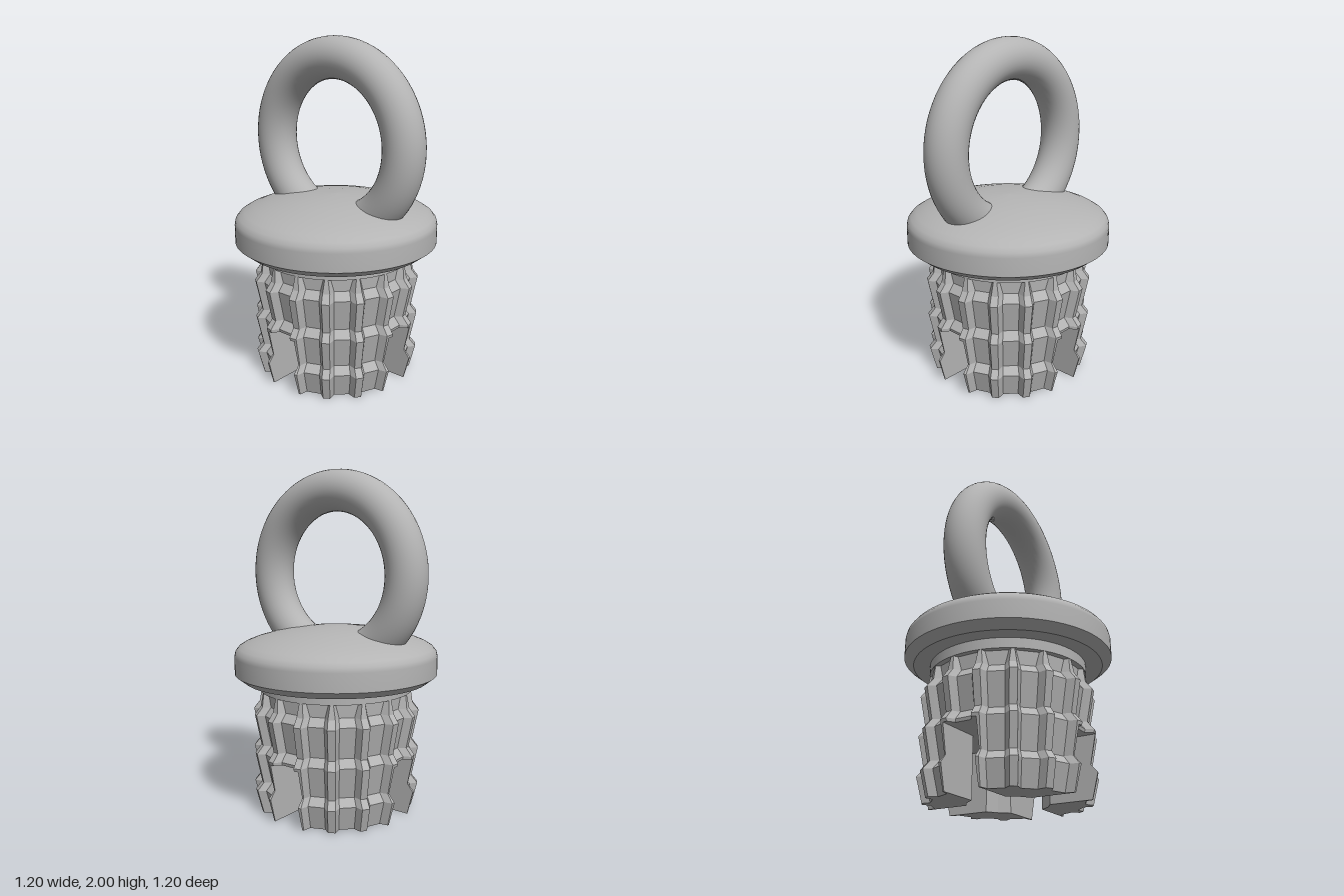
import * as THREE from 'three';

const TEETH = 16, PITCH = 360 / TEETH;
const SLOT = 0.1, SLOT_TOP = 0.345, BORE = 0.224;
const GROOVE = 0.045;
// tooth-tip radius by height: [y, r]
const PROFILE = [[0, 0.459], [0.14, 0.495], [0.185, 0.458], [0.363, 0.495],
  [0.41, 0.458], [0.593, 0.495], [0.64, 0.459], [0.725, 0.446]];

function tipRadius(y) {
  for (let i = 1; i < PROFILE.length; i++) {
    const [y0, r0] = PROFILE[i - 1], [y1, r1] = PROFILE[i];
    if (y <= y1) return r0 + (r1 - r0) * (y - y0) / (y1 - y0);
  }
  return PROFILE[PROFILE.length - 1][1];
}

const polar = (r, deg) => {
  const a = THREE.MathUtils.degToRad(deg);
  return new THREE.Vector2(r * Math.cos(a), r * Math.sin(a));
};

// four corners of one tooth; teeth narrow to spikes at the very top
function tooth(index, y) {
  const r = tipRadius(y), c = (index + 0.5) * PITCH;
  const taper = y > 0.7 ? 0.45 : 1;
  const base = y > 0.7 ? r - 0.025 : r - GROOVE;
  return [polar(base, c - 5.3 * taper), polar(r, c - 2.5 * taper),
    polar(r, c + 2.5 * taper), polar(base, c + 5.3 * taper)];
}

function gearSection(y) {
  const pts = [];
  for (let i = 0; i < TEETH; i++) pts.push(...tooth(i, y));
  return pts;
}

// one quarter of the gear, trimmed by the crossed slots and the centre bore
function legSection(y) {
  const r = tipRadius(y), edge = Math.sqrt(r * r - SLOT * SLOT);
  const inner = Math.sqrt(BORE * BORE - SLOT * SLOT);
  return [
    new THREE.Vector2(edge, SLOT),
    ...tooth(0, y).slice(2), ...tooth(1, y), ...tooth(2, y), ...tooth(3, y).slice(0, 2),
    new THREE.Vector2(SLOT, edge),
    new THREE.Vector2(SLOT, inner), polar(BORE, 45), new THREE.Vector2(inner, SLOT),
  ];
}

// closed flat-faced solid through sections at rising heights
function loft(section, heights) {
  const pos = [];
  const put = (p, y) => pos.push(p.x, y, p.y);
  const rings = heights.map(section);
  for (let k = 0; k + 1 < rings.length; k++) {
    const lo = rings[k], hi = rings[k + 1], y0 = heights[k], y1 = heights[k + 1];
    lo.forEach((p, i) => {
      const j = (i + 1) % lo.length;
      put(p, y0); put(hi[i], y1); put(lo[j], y0);
      put(lo[j], y0); put(hi[i], y1); put(hi[j], y1);
    });
  }
  const cap = (ring, y, flip) => {
    for (const t of THREE.ShapeUtils.triangulateShape(ring, [])) {
      for (const i of flip ? [t[2], t[1], t[0]] : t) put(ring[i], y);
    }
  };
  cap(rings[0], heights[0], false);
  cap(rings[rings.length - 1], heights[heights.length - 1], true);
  const geo = new THREE.BufferGeometry();
  geo.setAttribute('position', new THREE.Float32BufferAttribute(pos, 3));
  geo.computeVertexNormals();
  return geo;
}

const lathe = (points) =>
  new THREE.LatheGeometry(points.map(([r, y]) => new THREE.Vector2(r, y)), 96);

export function createModel() {
  const group = new THREE.Group();
  const grey = new THREE.MeshStandardMaterial({ color: 0xb4b4b4 });
  grey.name = 'grey';
  const add = (name, geo) => {
    const mesh = new THREE.Mesh(geo, grey);
    mesh.name = name;
    group.add(mesh);
    return mesh;
  };

  // pull ring
  add('pullRing', new THREE.TorusGeometry(0.48, 0.12, 32, 96)).position.y = 1.4;

  // cap: domed top with straight rim, chamfer and underside
  add('capDome', lathe([[0.6, 0.82], [0.6, 0.925], [0.594, 0.952], [0.575, 0.976],
    [0.54, 0.998], [0.48, 1.022], [0.4, 1.045], [0.28, 1.072], [0.14, 1.09], [0, 1.096]]));
  add('capChamfer', lathe([[0.545, 0.778], [0.6, 0.82]]));
  add('capUnderside', lathe([[0, 0.778], [0.545, 0.778]]));

  // smooth neck
  add('neck', new THREE.CylinderGeometry(0.45, 0.45, 0.075, 96)).position.y = 0.7575;

  // ribbed plug body above the slots
  const ys = PROFILE.map(([y]) => y);
  add('plugBody', loft(gearSection, [SLOT_TOP, ...ys.filter((y) => y > SLOT_TOP)]));

  // four ribbed legs between the slots
  const legGeo = loft(legSection, [...ys.filter((y) => y < SLOT_TOP), SLOT_TOP]);
  for (let i = 0; i < 4; i++) add('plugLeg' + (i + 1), legGeo).rotation.y = i * Math.PI / 2;

  return group;
}
